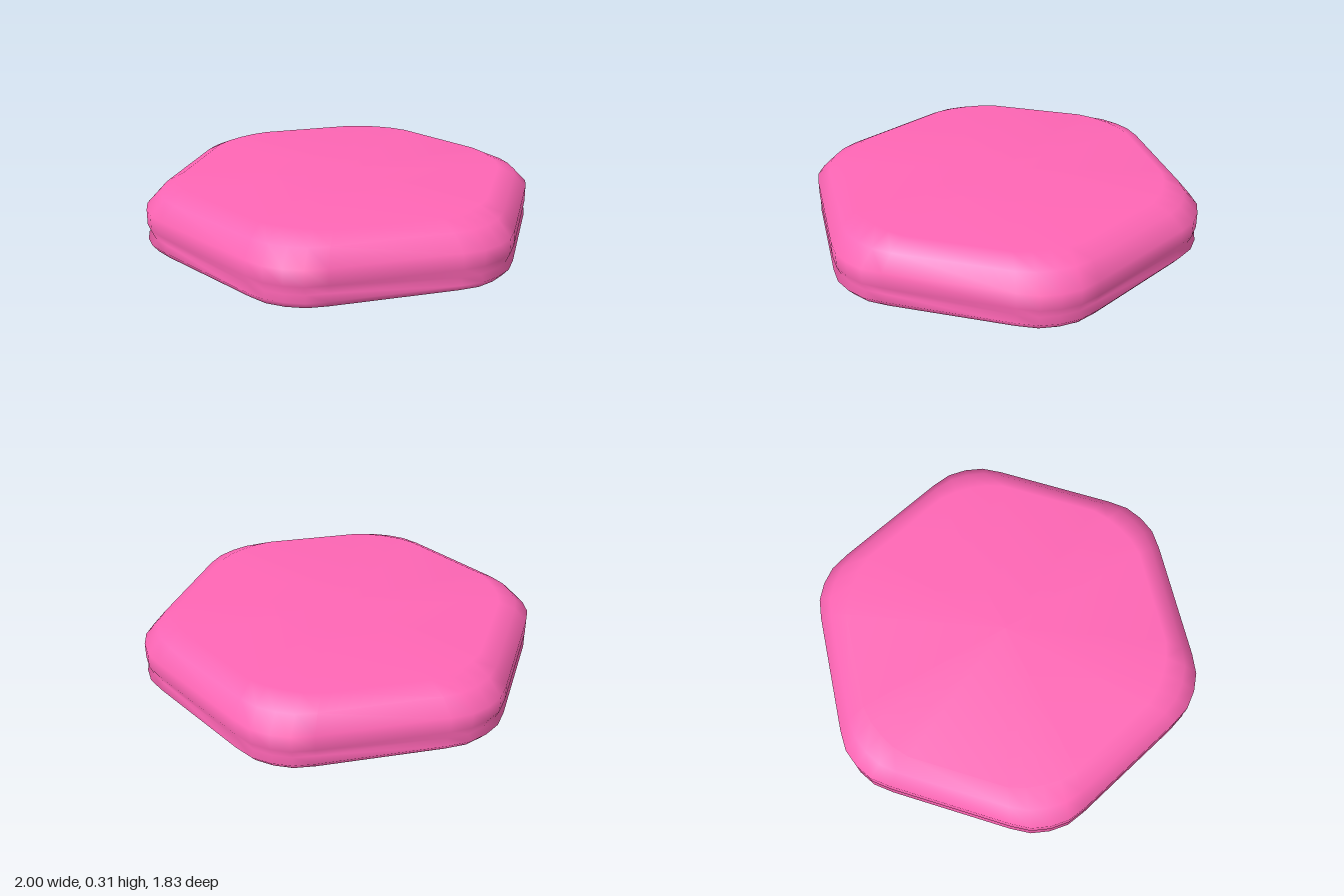
import * as THREE from 'three';

// Cross-sections from the base centre to the top centre:
// y, apothem, half length of the straight side, corner radius
const SECTIONS = [
  [0, 0, 0, 0],
  [0, 0.83, 0.28, 0.91],
  [0, 0.885, 0.3, 0.97],
  [0.035, 0.913, 0.308, 1],
  [0.065, 0.893, 0.302, 0.979], // groove
  [0.112, 0.913, 0.308, 1],
  [0.19, 0.913, 0.308, 1],
  [0.265, 0.852, 0.285, 0.925],
  [0.31, 0.77, 0.25, 0.82],
  [0.31, 0, 0, 0],
];

// One rounded hexagon: five points per corner, turned six times
function hexagonRing([y, apothem, half, radius]) {
  const x = apothem * Math.cos(Math.PI / 6) + half * 0.5;
  const z = Math.max(0, half * Math.cos(Math.PI / 6) - apothem * 0.5) || apothem * 0.5 - half * Math.cos(Math.PI / 6);
  const mid = x + 0.8 * (radius - x);
  const corner = [[x, -z], [mid, -z / 2], [radius, 0], [mid, z / 2], [x, z]];
  const points = [];
  for (let k = 0; k < 6; k++) {
    const c = Math.cos(k * Math.PI / 3), s = Math.sin(k * Math.PI / 3);
    for (const [px, pz] of corner) points.push(px * c - pz * s, y, px * s + pz * c);
  }
  return points;
}

// Joins the rings into one smooth closed skin
function loft(sections) {
  const n = 30;
  const index = [];
  for (let r = 0; r < sections.length - 1; r++) {
    for (let i = 0; i < n; i++) {
      const j = (i + 1) % n;
      const a = r * n + i, b = a + n, c = (r + 1) * n + j, d = r * n + j;
      if (r < sections.length - 2) index.push(a, b, c);
      if (r > 0) index.push(a, c, d);
    }
  }
  const geometry = new THREE.BufferGeometry();
  geometry.setAttribute('position', new THREE.Float32BufferAttribute(sections.flatMap(hexagonRing), 3));
  geometry.setIndex(index);
  geometry.computeVertexNormals();
  return geometry;
}

export function createModel() {
  const group = new THREE.Group();
  group.name = 'hexagonalTablet';
  const body = new THREE.Mesh(loft(SECTIONS), new THREE.MeshStandardMaterial({ color: 0xff66b5 }));
  body.name = 'roundedHexagonBody';
  group.add(body);
  return group;
}
